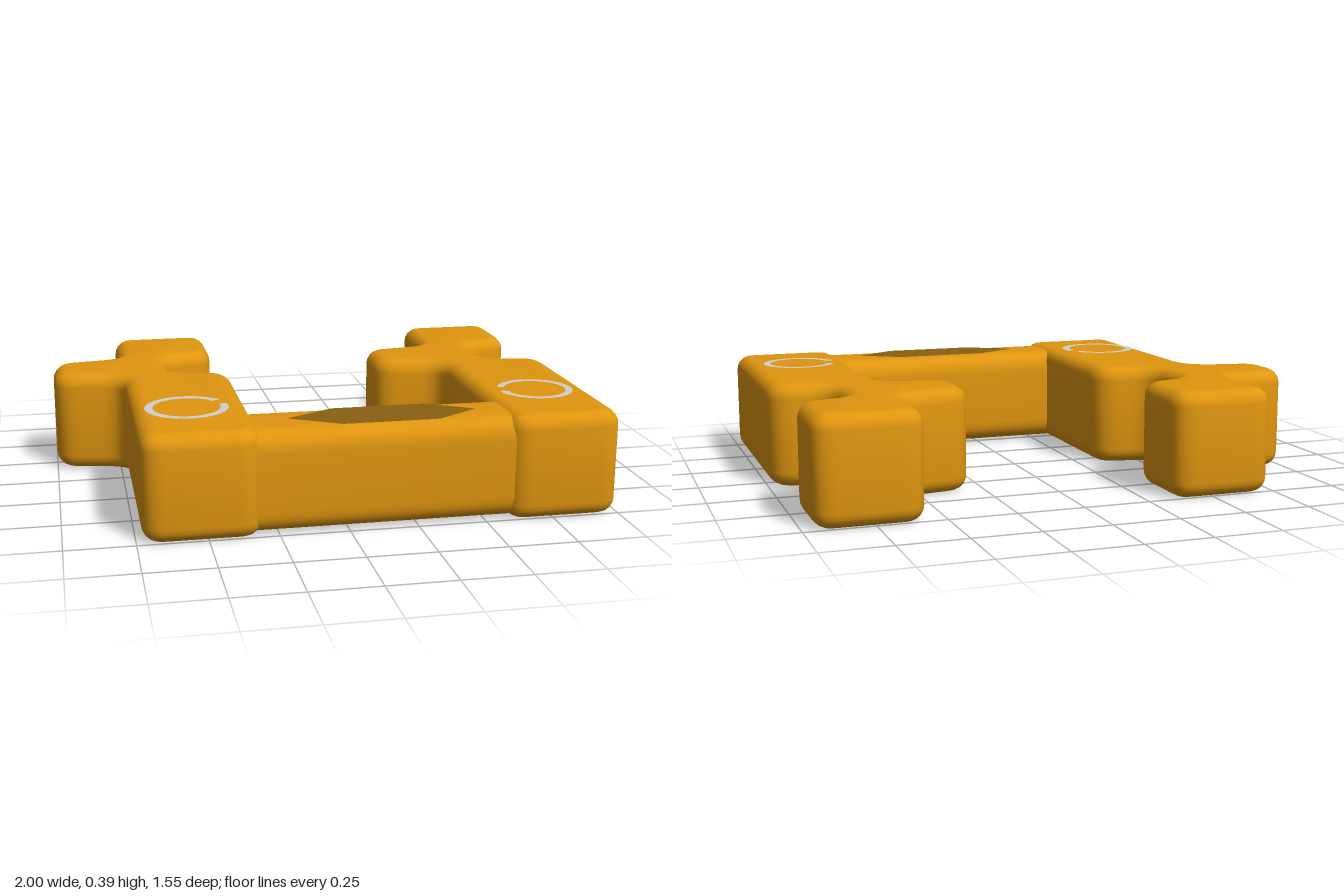
import * as THREE from 'three';
import { toCreasedNormals } from 'three/addons/utils/BufferGeometryUtils.js';

// Closed outline whose corners [x, y, cut] are softened by the given cut length
function roundedShape(corners) {
  const shape = new THREE.Shape();
  const pts = corners.map(([x, y]) => new THREE.Vector2(x, y));
  const n = pts.length;
  const toward = (a, b, d) => b.clone().sub(a).setLength(d).add(a);
  pts.forEach((p, i) => {
    const cut = corners[i][2];
    const start = toward(p, pts[(i + n - 1) % n], cut);
    const end = toward(p, pts[(i + 1) % n], cut);
    if (i === 0) shape.moveTo(start.x, start.y);
    else shape.lineTo(start.x, start.y);
    shape.quadraticCurveTo(p.x, p.y, end.x, end.y);
  });
  shape.closePath();
  return shape;
}

export function createModel() {
  const amber = new THREE.MeshStandardMaterial({ color: 0xe0960f });
  amber.name = 'amber';
  const brown = new THREE.MeshStandardMaterial({ color: 0x8a6012 });
  brown.name = 'brown';
  const silver = new THREE.MeshStandardMaterial({ color: 0xd0d0d0 });
  silver.name = 'silver';

  const model = new THREE.Group();
  const add = (name, geometry, material) => {
    const mesh = new THREE.Mesh(geometry, material);
    mesh.name = name;
    model.add(mesh);
    return mesh;
  };

  // Key-shaped arm in plan: x, z, corner cut
  const plan = [
    [-0.73, -0.78, 0.085], [-0.73, -0.43, 0.08], [-1.0, -0.39, 0.085],
    [-1.0, -0.15, 0.085], [-0.73, -0.10, 0.085], [-0.73, 0.775, 0.085],
    [-0.31, 0.775, 0.085], [-0.31, -0.11, 0.09], [-0.54, -0.155, 0.09],
    [-0.54, -0.40, 0.09], [-0.34, -0.44, 0.09], [-0.34, -0.78, 0.085],
  ];
  const bevel = 0.055, height = 0.39;
  let arm = new THREE.ExtrudeGeometry(roundedShape(plan.map(([x, z, c]) => [x, -z, c])), {
    depth: height - 2 * bevel, bevelThickness: bevel, bevelSize: bevel,
    bevelOffset: -bevel, bevelSegments: 5, curveSegments: 8,
  });
  arm.rotateX(-Math.PI / 2).translate(0, bevel, 0);
  arm = toCreasedNormals(arm, 0.7);
  add('rightArm', arm, amber);
  add('leftArm', arm, amber).position.x = 1.305;

  // Rounded crossbar joining the arms at the front
  const w = 0.153, h = 0.187, c = 0.085;
  let bar = new THREE.ExtrudeGeometry(
    roundedShape([[-w, -h, c], [w, -h, c], [w, h, c], [-w, h, c]]),
    { depth: 1.0, bevelEnabled: false, curveSegments: 8 });
  bar.rotateY(Math.PI / 2).translate(-0.37, 0.193, 0.603);
  bar = toCreasedNormals(bar, 0.7);
  add('crossbar', bar, amber);

  // Dark hexagonal panel on the crossbar
  const panel = new THREE.Shape([
    [-0.2, -0.605], [-0.02, -0.71], [0.33, -0.71],
    [0.49, -0.605], [0.33, -0.505], [-0.02, -0.505],
  ].map(([x, y]) => new THREE.Vector2(x, y)));
  add('crossbarPanel', new THREE.ShapeGeometry(panel).rotateX(-Math.PI / 2), brown).position.y = 0.383;

  // Open rings inlaid on the arm tops: centre x, z, inner and outer radius, gap in degrees
  const rings = [
    ['rightRing', -0.535, 0.425, 0.122, 0.152, 12, 38],
    ['leftRing', 0.785, 0.412, 0.115, 0.142, 158, 192],
  ];
  for (const [name, x, z, inner, outer, from, to] of rings) {
    const start = THREE.MathUtils.degToRad(to);
    const sweep = THREE.MathUtils.degToRad(360 - (to - from));
    const ring = new THREE.RingGeometry(inner, outer, 48, 1, start, sweep).rotateX(-Math.PI / 2);
    add(name, ring, silver).position.set(x, height + 0.003, z);

    // Small thickened tip at the end of the ring
    const tip = new THREE.CircleGeometry(0.026, 3).rotateX(-Math.PI / 2);
    const r = (inner + outer) / 2;
    add(name + 'Tip', tip, silver).position.set(
      x + r * Math.cos(start), height + 0.004, z - r * Math.sin(start));
  }

  return model;
}
